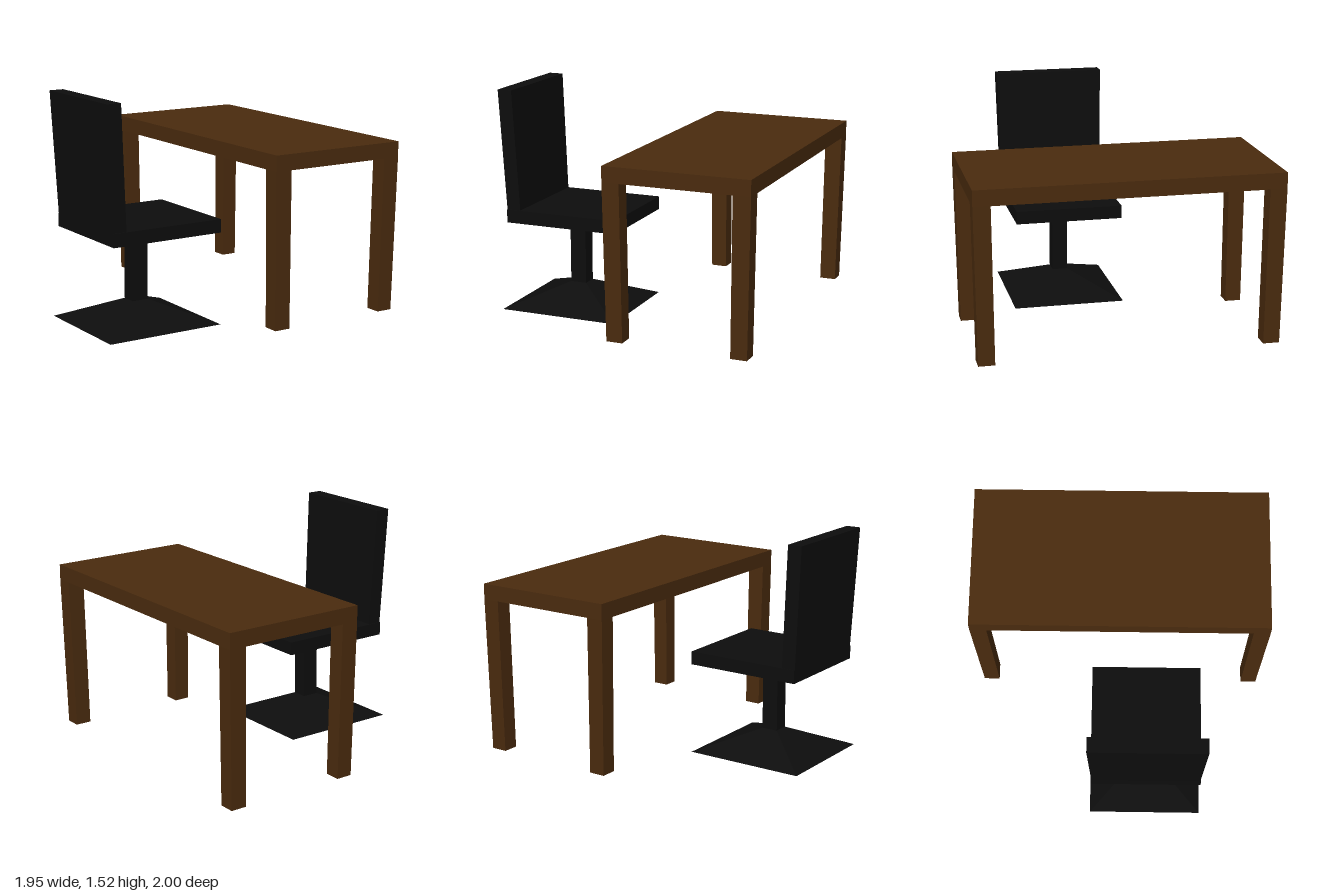
import * as THREE from 'three';

const wood = new THREE.MeshStandardMaterial({ color: 0x4a2b0e, flatShading: true });
const black = new THREE.MeshStandardMaterial({ color: 0x0d0d0d, flatShading: true });

// Box whose bottom and top rectangles differ; each rectangle is [x0, x1, z0, z1]
function taperedBox(name, material, y0, y1, bottom, top = bottom) {
  const geometry = new THREE.BoxGeometry(1, 1, 1);
  const p = geometry.attributes.position;
  for (let i = 0; i < p.count; i++) {
    const up = p.getY(i) > 0;
    const r = up ? top : bottom;
    p.setXYZ(i, p.getX(i) > 0 ? r[1] : r[0], up ? y1 : y0, p.getZ(i) > 0 ? r[3] : r[2]);
  }
  geometry.computeVertexNormals();
  const mesh = new THREE.Mesh(geometry, material);
  mesh.name = name;
  return mesh;
}

function createTable() {
  const table = new THREE.Group();
  table.name = 'table';
  const cx = 0.478, halfX = 0.492, halfZ = 1;
  table.add(taperedBox('tableTop', wood, 1.075, 1.18, [cx - halfX, cx + halfX, -halfZ, halfZ]));

  // Legs lean slightly inward towards the floor
  const span = (c, s, outer, width) => {
    const a = c + s * outer, b = c + s * (outer - width);
    return [Math.min(a, b), Math.max(a, b)];
  };
  for (const sx of [-1, 1]) {
    for (const sz of [-1, 1]) {
      const foot = [...span(cx, sx, halfX - 0.017, 0.11), ...span(0, sz, halfZ - 0.015, 0.108)];
      const head = [...span(cx, sx, halfX, 0.117), ...span(0, sz, halfZ, 0.112)];
      table.add(taperedBox('tableLeg', wood, 0.035, 1.075, foot, head));
    }
  }
  return table;
}

function createChair() {
  const chair = new THREE.Group();
  chair.name = 'chair';
  const post = [-0.614, -0.5, 0.132, 0.238];
  chair.add(
    // Flared pyramid foot and central column
    taperedBox('chairBase', black, 0, 0.15, [-0.972, -0.142, -0.2, 0.57], post),
    taperedBox('chairPost', black, 0.15, 0.615, post),
    taperedBox('seat', black, 0.615, 0.705, [-0.932, -0.132, -0.185, 0.553]),
    // Backrest leans back and widens upward
    taperedBox('backrest', black, 0.705, 1.523, [-0.932, -0.835, -0.178, 0.546], [-0.975, -0.875, -0.194, 0.562])
  );
  return chair;
}

export function createModel() {
  const model = new THREE.Group();
  model.name = 'tableAndChair';
  model.add(createTable(), createChair());
  return model;
}
